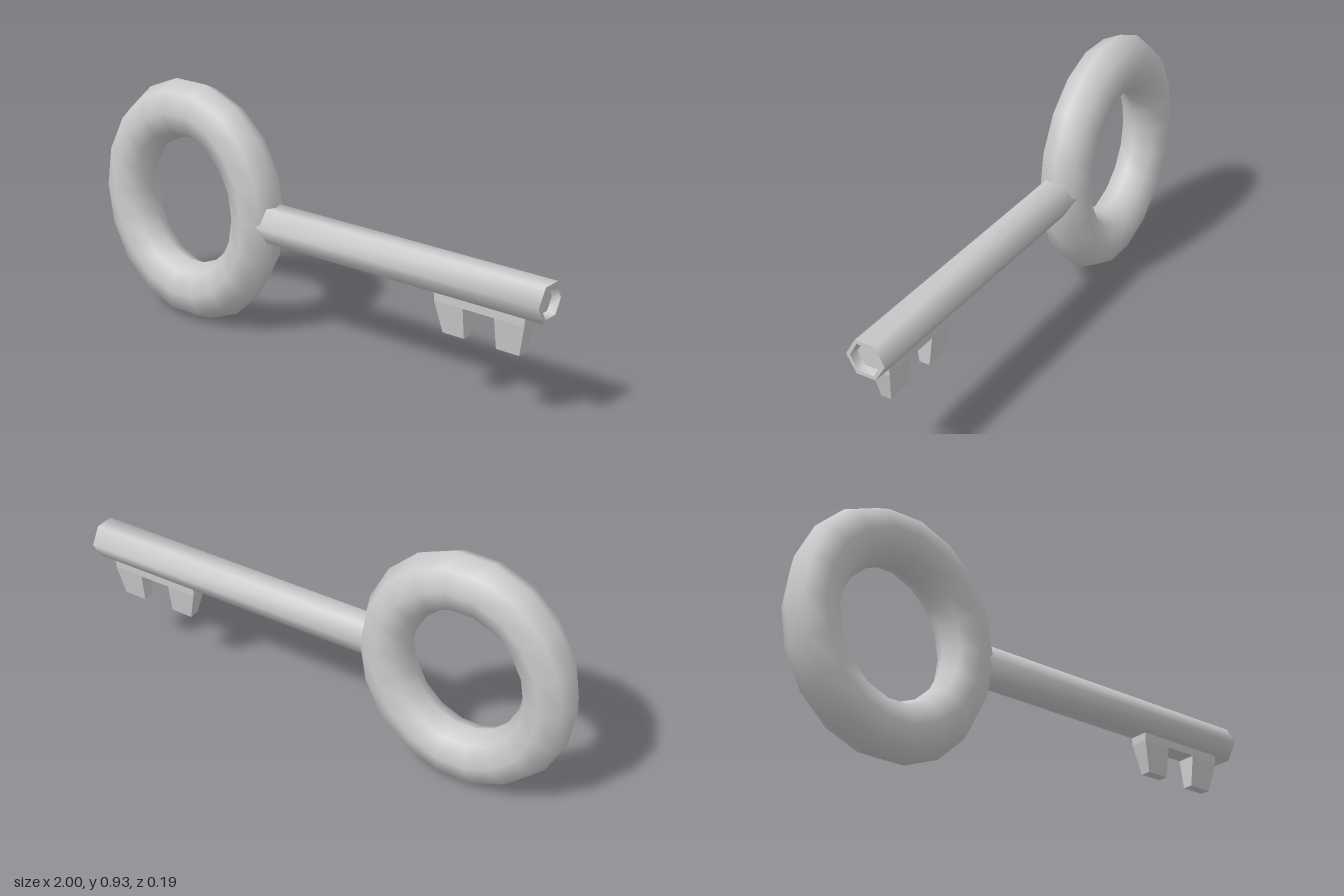
import * as THREE from 'three';
import { toCreasedNormals } from 'three/addons/utils/BufferGeometryUtils.js';

const smooth = new THREE.MeshStandardMaterial({ color: 0xcccccc });
const faceted = new THREE.MeshStandardMaterial({ color: 0xcccccc, flatShading: true });

function add(group, name, geometry, material) {
  const mesh = new THREE.Mesh(geometry, material);
  mesh.name = name;
  group.add(mesh);
  return mesh;
}

// Block between two heights, each end given as [left x, right x, half depth]
function taperedBlock(yBottom, yTop, bottom, top) {
  const geometry = new THREE.BoxGeometry(1, 1, 1);
  const p = geometry.attributes.position;
  for (let i = 0; i < p.count; i++) {
    const up = p.getY(i) > 0;
    const [left, right, half] = up ? top : bottom;
    p.setXYZ(i, p.getX(i) < 0 ? left : right, up ? yTop : yBottom, p.getZ(i) < 0 ? -half : half);
  }
  geometry.computeVertexNormals();
  return geometry;
}

export function createModel() {
  const key = new THREE.Group();
  key.name = 'key';

  // Ring handle, slightly taller than wide
  const ring = new THREE.TorusGeometry(0.32, 0.1, 8, 18);
  ring.scale(1, 1.124, 0.95);
  ring.computeVertexNormals();
  // share normals across the seams so the tube shades smoothly
  add(key, 'ringHandle', toCreasedNormals(ring, Math.PI / 2.2), smooth).position.set(-0.58, 0.466, 0);

  // Hexagonal shaft with a shallow tapered recess in its tip
  const profile = [[0, -0.25], [0.075, -0.25], [0.075, 1], [0.06, 1], [0.052, 0.97], [0, 0.97]]
    .map(([r, x]) => new THREE.Vector2(r, x));
  const shaft = new THREE.LatheGeometry(profile, 6);
  shaft.rotateZ(-Math.PI / 2);
  add(key, 'shaft', toCreasedNormals(shaft, 1.2), smooth).position.y = 0.463;

  // Bit: a bar under the shaft carrying two tapered teeth
  const bit = new THREE.Group();
  bit.name = 'bit';
  key.add(bit);
  add(bit, 'bitBar', taperedBlock(0.368, 0.41, [0.562, 0.925, 0.036], [0.56, 0.927, 0.037]), faceted);
  add(bit, 'innerTooth', taperedBlock(0.252, 0.368, [0.59, 0.678, 0.02], [0.562, 0.68, 0.036]), faceted);
  add(bit, 'outerTooth', taperedBlock(0.252, 0.368, [0.808, 0.9, 0.02], [0.806, 0.925, 0.036]), faceted);

  return key;
}
